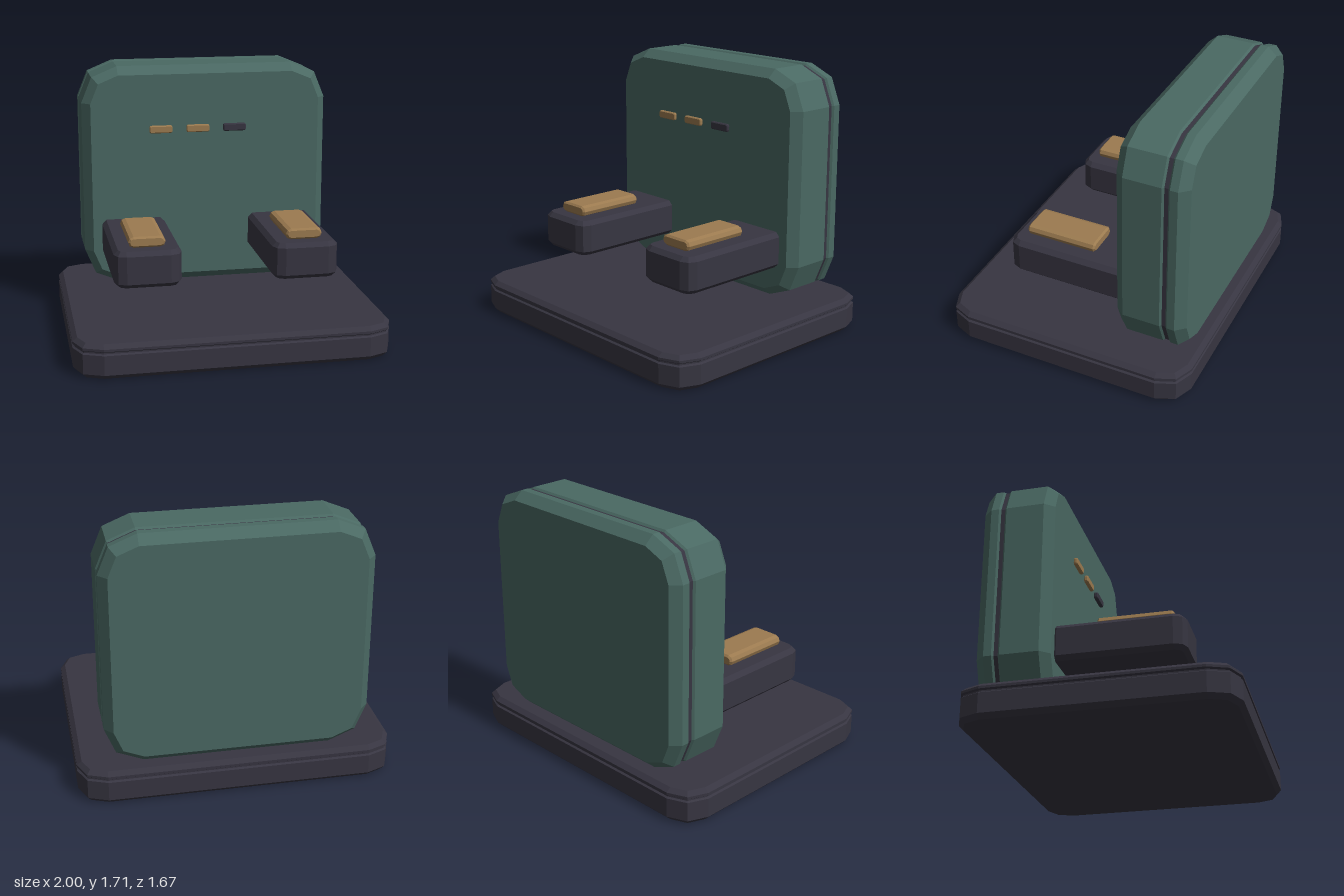
import * as THREE from 'three';

const material = (name, color) => {
  const m = new THREE.MeshStandardMaterial({ color, flatShading: true });
  m.name = name;
  return m;
};

// Rounded rectangle outline, counter-clockwise, two facets per corner
function outline(w, h, r, inset) {
  const pts = [];
  const radius = Math.max(r - inset, 0.004);
  const cx = w / 2 - inset - radius, cy = h / 2 - inset - radius;
  [[1, 1], [-1, 1], [-1, -1], [1, -1]].forEach(([sx, sy], q) => {
    for (let i = 0; i <= 2; i++) {
      const a = (q + i / 2) * Math.PI / 2;
      pts.push([sx * cx + radius * Math.cos(a), sy * cy + radius * Math.sin(a)]);
    }
  });
  return pts;
}

// Faceted slab through cross-sections [z, inset], listed with z rising
function slab(w, h, r, sections) {
  const rings = sections.map(([z, inset]) => outline(w, h, r, inset).map(([x, y]) => [x, y, z]));
  const pos = [];
  const tri = (a, b, c) => pos.push(...a, ...b, ...c);
  const n = rings[0].length;
  for (let k = 0; k < rings.length - 1; k++) {
    const a = rings[k], b = rings[k + 1];
    for (let i = 0; i < n; i++) {
      const j = (i + 1) % n;
      tri(a[i], a[j], b[j]);
      tri(a[i], b[j], b[i]);
    }
  }
  const first = rings[0], last = rings[rings.length - 1];
  for (let i = 1; i < n - 1; i++) {
    tri(first[0], first[i + 1], first[i]);
    tri(last[0], last[i], last[i + 1]);
  }
  const g = new THREE.BufferGeometry();
  g.setAttribute('position', new THREE.Float32BufferAttribute(pos, 3));
  g.computeVertexNormals();
  return g;
}

// Same slab stacked upwards
const upSlab = (...args) => slab(...args).rotateX(-Math.PI / 2);

export function createModel() {
  const model = new THREE.Group();
  model.name = 'chair';
  const green = material('muted green', 0x4a6963);
  const dark = material('charcoal', 0x373541);
  const tan = material('tan', 0x9c7b50);

  const add = (name, geometry, mat, x = 0, y = 0, z = 0) => {
    const mesh = new THREE.Mesh(geometry, mat);
    mesh.name = name;
    mesh.position.set(x, y, z);
    model.add(mesh);
  };

  // Base plate with a thin groove near its top
  add('base', upSlab(2, 1.67, 0.175, [
    [0, 0.03], [0.03, 0], [0.155, 0], [0.163, 0.012], [0.172, 0.012], [0.18, 0], [0.195, 0], [0.22, 0.03],
  ]), dark);

  // Upright panel: thick front, recessed seam, thinner back
  const panel = (sections) => slab(1.66, 1.49, 0.24, sections);
  const panelY = 0.965;
  add('frontPanel', panel([[-0.625, 0.015], [-0.61, 0], [-0.365, 0], [-0.305, 0.055]]), green, 0, panelY);
  add('panelSeam', panel([[-0.65, 0.012], [-0.62, 0.012]]), dark, 0, panelY);
  add('backPanel', panel([[-0.77, 0.055], [-0.71, 0], [-0.66, 0], [-0.645, 0.015]]), green, 0, panelY);

  // Arms with padded tops
  for (const side of [-1, 1]) {
    const label = side > 0 ? 'left' : 'right';
    add(label + 'Arm', upSlab(0.426, 0.865, 0.075, [
      [0, 0.028], [0.028, 0], [0.207, 0], [0.235, 0.028],
    ]), dark, side * 0.503, 0.445, 0.0625);
    add(label + 'ArmPad', slab(0.235, 0.07, 0.034, [
      [-0.07, 0.012], [-0.058, 0], [0.393, 0], [0.405, 0.012],
    ]), tan, side * 0.503, 0.717);
  }

  // Row of small indicator bars in front of the panel
  [[-0.31, tan], [-0.06, tan], [0.19, dark]].forEach(([x, mat], i) => {
    add('indicator' + (i + 1), slab(0.155, 0.05, 0.012, [
      [-0.297, 0.006], [-0.291, 0], [-0.276, 0], [-0.27, 0.006],
    ]), mat, x, 1.291);
  });

  return model;
}
